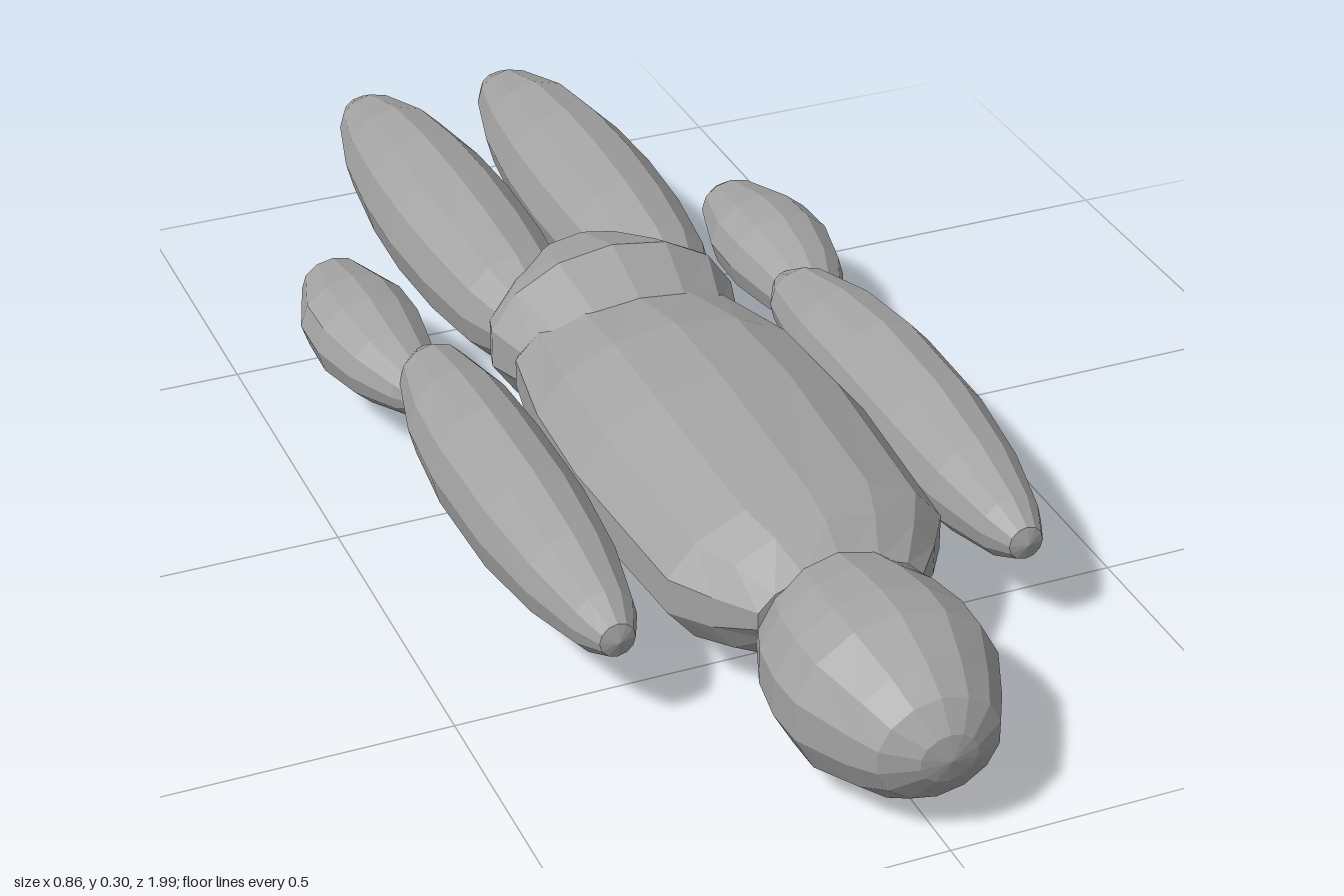
import * as THREE from 'three';

const skin = new THREE.MeshStandardMaterial({ color: 0xa3a3a3, flatShading: true });
skin.name = 'plain grey';

// Closed loft along z, rear to front. Each section: [z, centreX, centreY, radiusX, radiusY]
function loft(name, sections, sides) {
  const pos = [], index = [];
  for (const [z, cx, cy, rx, ry] of sections) {
    for (let i = 0; i < sides; i++) {
      const a = Math.PI / 2 + (i / sides) * Math.PI * 2;
      pos.push(cx + Math.cos(a) * rx, cy + Math.sin(a) * ry, z);
    }
  }
  for (let s = 0; s < sections.length - 1; s++) {
    for (let i = 0; i < sides; i++) {
      const j = (i + 1) % sides;
      const a = s * sides + i, b = s * sides + j;
      index.push(a, b, b + sides, a, b + sides, a + sides);
    }
  }
  // end points
  const last = sections.length - 1;
  for (const [s, dz] of [[0, -0.008], [last, 0.008]]) {
    const [z, cx, cy] = sections[s];
    const tip = pos.length / 3;
    pos.push(cx, cy, z + dz);
    for (let i = 0; i < sides; i++) {
      const a = s * sides + i, b = s * sides + ((i + 1) % sides);
      if (s === 0) index.push(tip, b, a);
      else index.push(tip, a, b);
    }
  }
  const geo = new THREE.BufferGeometry();
  geo.setAttribute('position', new THREE.Float32BufferAttribute(pos, 3));
  geo.setIndex(index);
  geo.computeVertexNormals();
  const mesh = new THREE.Mesh(geo, skin);
  mesh.name = name;
  return mesh;
}

export function createModel() {
  const model = new THREE.Group();
  model.name = 'lyingFigure';

  model.add(loft('head', [
    [0.57, 0, 0.14, 0.07, 0.06],
    [0.63, 0, 0.135, 0.115, 0.105],
    [0.70, 0, 0.134, 0.143, 0.122],
    [0.77, 0, 0.134, 0.154, 0.132],
    [0.83, 0, 0.134, 0.151, 0.132],
    [0.91, 0, 0.134, 0.115, 0.106],
    [0.955, 0, 0.136, 0.09, 0.078],
    [0.985, 0, 0.14, 0.042, 0.036],
  ], 14));

  model.add(loft('torso', [
    [-0.17, 0, 0.162, 0.13, 0.07],
    [-0.09, 0, 0.16, 0.19, 0.097],
    [0.08, 0, 0.162, 0.222, 0.134],
    [0.25, 0, 0.162, 0.23, 0.138],
    [0.54, 0, 0.162, 0.21, 0.122],
    [0.60, 0, 0.164, 0.17, 0.106],
    [0.655, 0, 0.172, 0.125, 0.06],
  ], 14));

  model.add(loft('pelvis', [
    [-0.35, 0, 0.163, 0.04, 0.03],
    [-0.29, 0, 0.163, 0.12, 0.095],
    [-0.20, 0, 0.163, 0.19, 0.125],
    [-0.165, 0, 0.163, 0.2, 0.137],
    [-0.06, 0, 0.163, 0.168, 0.104],
    [0.0, 0, 0.163, 0.09, 0.06],
  ], 14));

  // paired limbs
  for (const [side, m] of [['left', 1], ['right', -1]]) {
    model.add(loft(side + 'Leg', [
      [-0.986, m * 0.122, 0.163, 0.033, 0.027],
      [-0.94, m * 0.122, 0.163, 0.055, 0.051],
      [-0.81, m * 0.122, 0.163, 0.088, 0.088],
      [-0.67, m * 0.121, 0.163, 0.104, 0.104],
      [-0.54, m * 0.12, 0.163, 0.109, 0.108],
      [-0.40, m * 0.118, 0.163, 0.104, 0.104],
      [-0.27, m * 0.115, 0.163, 0.09, 0.09],
      [-0.15, m * 0.11, 0.163, 0.05, 0.05],
    ], 12));

    model.add(loft(side + 'UpperArm', [
      [-0.18, m * 0.296, 0.16, 0.024, 0.024],
      [-0.13, m * 0.3, 0.16, 0.054, 0.054],
      [0.0, m * 0.306, 0.16, 0.08, 0.083],
      [0.13, m * 0.31, 0.16, 0.087, 0.096],
      [0.31, m * 0.309, 0.16, 0.085, 0.094],
      [0.45, m * 0.306, 0.16, 0.071, 0.076],
      [0.56, m * 0.304, 0.16, 0.047, 0.05],
      [0.607, m * 0.304, 0.16, 0.026, 0.026],
    ], 12));

    model.add(loft(side + 'Forearm', [
      [-0.522, m * 0.337, 0.138, 0.025, 0.022],
      [-0.49, m * 0.338, 0.138, 0.052, 0.043],
      [-0.38, m * 0.341, 0.138, 0.086, 0.069],
      [-0.30, m * 0.341, 0.138, 0.087, 0.074],
      [-0.21, m * 0.337, 0.138, 0.07, 0.062],
      [-0.13, m * 0.325, 0.138, 0.045, 0.04],
      [-0.098, m * 0.32, 0.138, 0.022, 0.018],
    ], 12));
  }
  return model;
}
